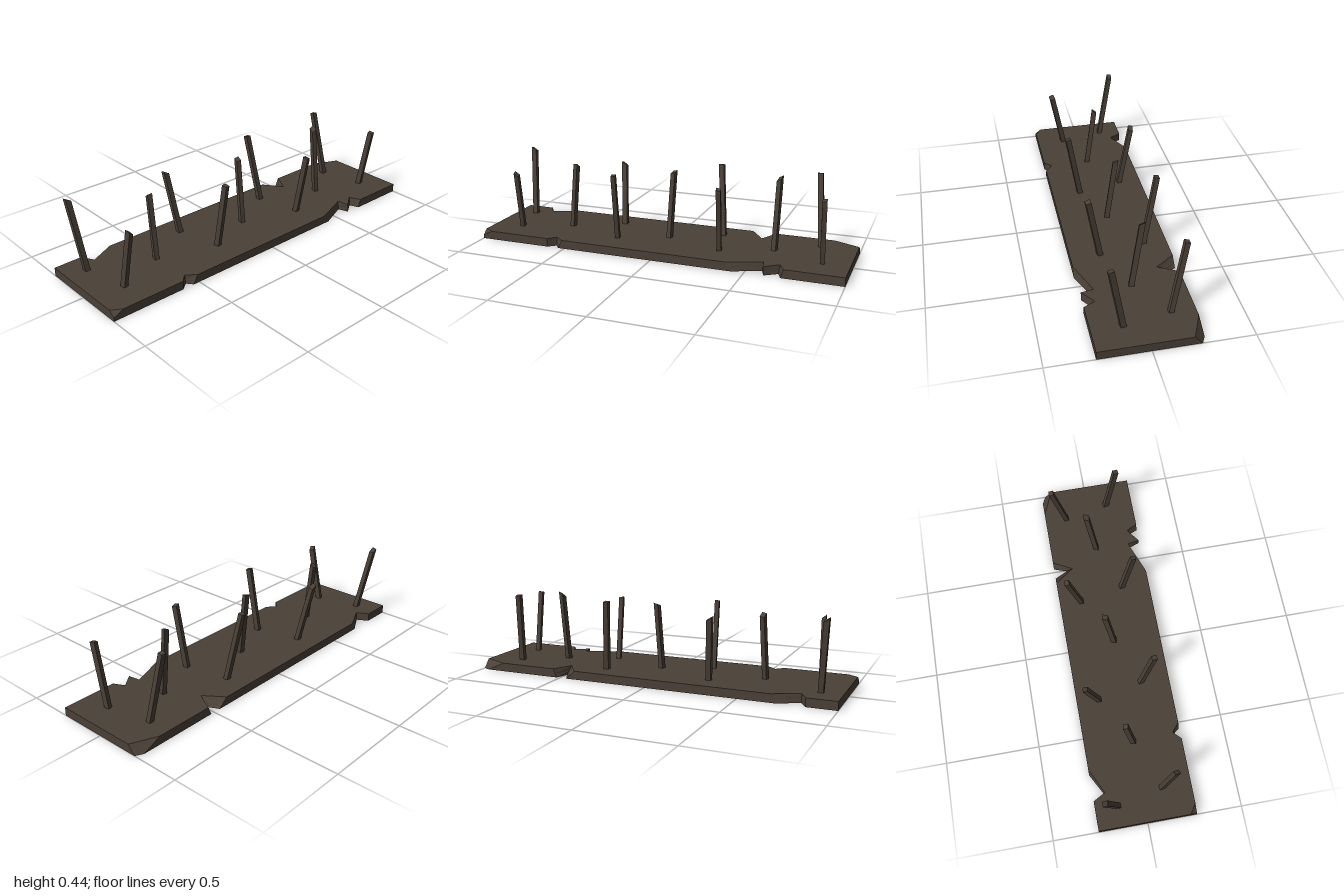
import * as THREE from 'three';

const THICK = 0.046, CHIP_Y = 0.02;

// Plank outline: [top x, top z, bottom x, bottom z, (chip x, chip z)], notches taper with depth
const OUTLINE = [
  [0.26, -1, 0.26, -1],
  [0.26, -0.70, 0.26, -0.685], [0.20, -0.67, 0.21, -0.665],
  [0.255, -0.595, 0.255, -0.60], [0.19, -0.585, 0.20, -0.58], [0.26, -0.395, 0.26, -0.43],
  [0.26, 0.51, 0.26, 0.535], [0.22, 0.56, 0.228, 0.56], [0.26, 0.60, 0.26, 0.60],
  [0.26, 0.945, 0.26, 1, 0.26, 1], [0.226, 1, 0.26, 1, 0.26, 1],
  [-0.26, 1, -0.26, 1],
  [-0.26, 0.845, -0.26, 0.845], [-0.195, 0.81, -0.20, 0.81], [-0.26, 0.675, -0.26, 0.70],
  [-0.26, -0.41, -0.26, -0.46], [-0.155, -0.485, -0.19, -0.495], [-0.26, -0.54, -0.26, -0.52],
  [-0.26, -0.86, -0.26, -0.96], [-0.20, -1, -0.24, -1],
];

function plank(material) {
  const group = new THREE.Group();
  group.name = 'plank';

  // top board
  const shape = new THREE.Shape(OUTLINE.map(p => new THREE.Vector2(p[0], -p[1])));
  const topGeo = new THREE.ShapeGeometry(shape);
  topGeo.rotateX(-Math.PI / 2).translate(0, THICK, 0);
  const top = new THREE.Mesh(topGeo, material);
  top.name = 'plankTop';

  // edge walls in three rings, open underneath
  const t = 1 - CHIP_Y / THICK;
  const rings = OUTLINE.map(([tx, tz, bx, bz, cx, cz]) => [
    [tx, THICK, tz],
    [cx ?? tx + (bx - tx) * t, CHIP_Y, cz ?? tz + (bz - tz) * t],
    [bx, 0, bz],
  ]);
  const pos = [];
  rings.forEach((a, i) => {
    const b = rings[(i + 1) % rings.length];
    for (let k = 0; k < 2; k++) {
      pos.push(...a[k], ...b[k], ...b[k + 1], ...a[k], ...b[k + 1], ...a[k + 1]);
    }
  });
  const wallGeo = new THREE.BufferGeometry();
  wallGeo.setAttribute('position', new THREE.Float32BufferAttribute(pos, 3));
  wallGeo.computeVertexNormals();
  const walls = new THREE.Mesh(wallGeo, material);
  walls.name = 'plankEdges';
  group.add(top, walls);
  return group;
}

// Leaning square stake with an obliquely cut tip
function stake(name, material, base, tip, foot, width, depth, yaw, cutX, cutZ) {
  const geo = new THREE.BoxGeometry(width, 1, depth).rotateY(yaw);
  const p = geo.attributes.position;
  for (let i = 0; i < p.count; i++) {
    const x = p.getX(i), z = p.getZ(i);
    const y = p.getY(i) > 0 ? tip[1] + cutX * x + cutZ * z : foot;
    const s = (y - THICK) / (tip[1] - THICK);
    p.setXYZ(i,
      base[0] + (tip[0] - base[0]) * s + x, y,
      base[1] + (tip[2] - base[1]) * s + z);
  }
  geo.computeVertexNormals();
  const mesh = new THREE.Mesh(geo, material);
  mesh.name = name;
  return mesh;
}

export function createModel() {
  const model = new THREE.Group();
  model.name = 'spikedPlank';
  const wood = new THREE.MeshStandardMaterial({
    color: 0x4a4037, flatShading: true, side: THREE.DoubleSide,
  });
  model.add(plank(wood));

  // right row: [base z, tip z, tip height, cut slope x, cut slope z]
  [[-0.81, -0.775, 0.425, 0.2, 0], [-0.275, -0.237, 0.425, 0.2, 0],
   [0.31, 0.338, 0.38, 0.2, 0.6], [0.89, 0.92, 0.418, 0.2, 0.6]].forEach(([z, tz, h, cx, cz]) =>
    model.add(stake('rightStake', wood, [-0.138, z], [-0.208, h, tz], 0.025, 0.026, 0.028, 0, cx, cz)));

  // middle row
  [[-0.592, -0.598, 0.42, -0.4, -0.7], [-0.012, -0.02, 0.402, -0.3, -0.3],
   [0.57, 0.562, 0.387, 0.7, 0]].forEach(([z, tz, h, cx, cz]) =>
    model.add(stake('middleStake', wood, [0.002, z], [-0.043, h, tz], 0.038, 0.028, 0.025, -0.22, cx, cz)));

  // left row
  [[-0.86, -0.866, 0.388, -0.2, -0.1], [-0.325, -0.333, 0.388, -0.2, 0.3],
   [0.25, 0.243, 0.408, -0.2, 0], [0.835, 0.825, 0.362, -0.1, 0.8]].forEach(([z, tz, h, cx, cz]) =>
    model.add(stake('leftStake', wood, [0.105, z], [0.165, h, tz], 0.036, 0.029, 0.024, 0.18, cx, cz)));

  return model;
}
